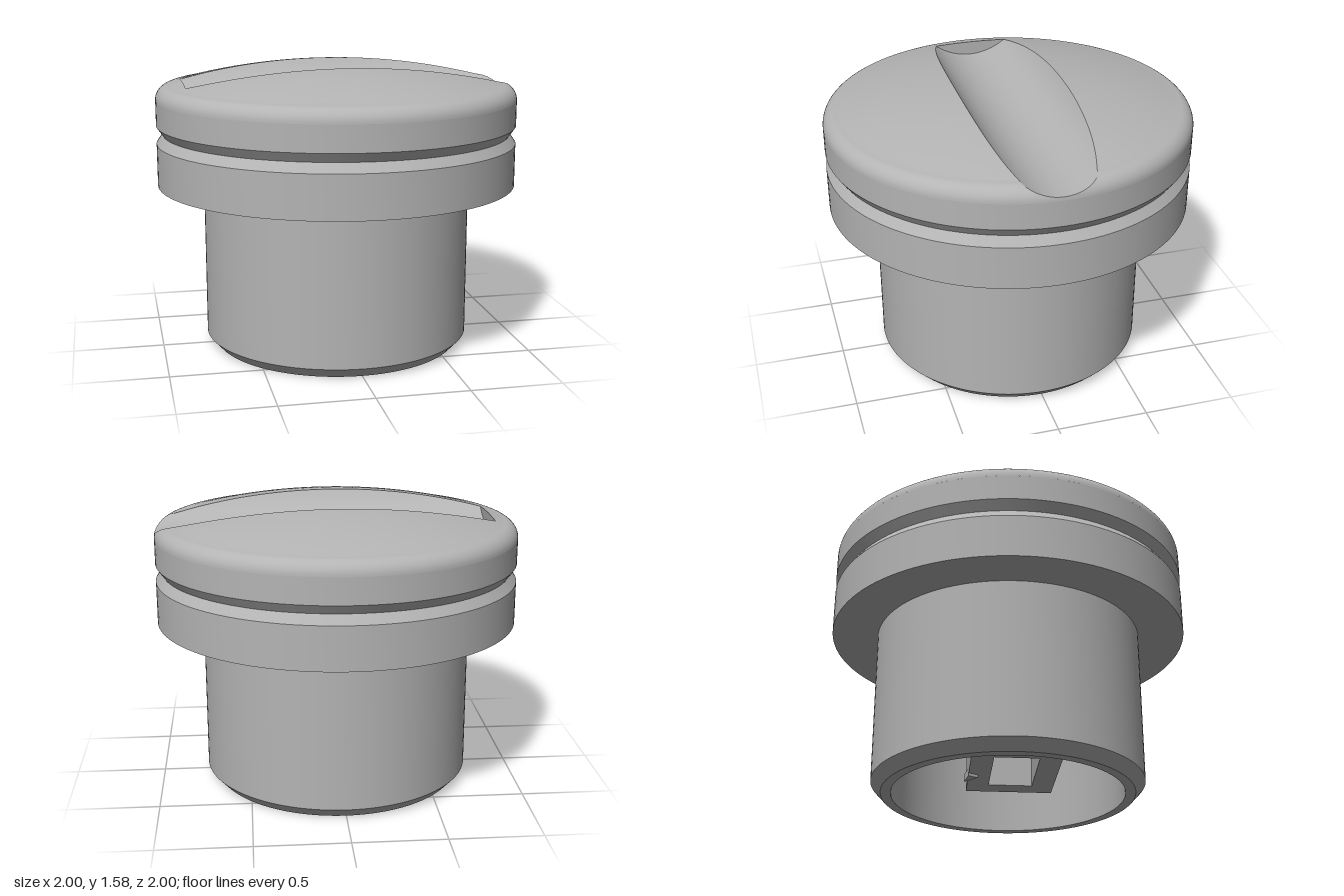
import * as THREE from 'three';
import { toCreasedNormals } from 'three/addons/utils/BufferGeometryUtils.js';

const GROOVE_END = -0.85, GROOVE_HALF = 0.2105;
const DOME_R = 0.92, DOME_ARC = 3.58, FILLET = 0.08, RIM_Y = 1.395;

// Cap profile: s 0..1 runs over the dome, 1..2 round the rim fillet
function profile(s) {
  if (s <= 1) {
    const r = DOME_R * s;
    return [r, 1.595 - DOME_ARC + Math.sqrt(DOME_ARC ** 2 - r * r)];
  }
  const a = (s - 1) * Math.PI / 2;
  return [DOME_R + FILLET * Math.sin(a), RIM_Y + FILLET * Math.cos(a)];
}

// Height of the round-bottomed finger groove running along x
const grooveY = (z) => 1.755 - Math.sqrt(Math.max(0, 0.34 ** 2 - z * z));

// Profile position at which a ray from the centre leaves the groove
function grooveEdge(t) {
  let lo = 0, hi = 2;
  for (let k = 0; k < 40; k++) {
    const mid = (lo + hi) / 2;
    const [r, y] = profile(mid);
    if (y > grooveY(r * Math.sin(t))) lo = mid; else hi = mid;
  }
  const c = Math.cos(t);
  return c < -0.01 ? Math.min(lo, GROOVE_END / c / DOME_R) : lo;
}

// Surface from a grid of points, optionally closed in the first direction
function grid(cols, rows, point, closed) {
  const pos = [], index = [];
  for (let i = 0; i < cols; i++) for (let j = 0; j < rows; j++) pos.push(...point(i, j));
  for (let i = 0; i < (closed ? cols : cols - 1); i++) {
    for (let j = 0; j < rows - 1; j++) {
      const a = i * rows + j, c = ((i + 1) % cols) * rows + j;
      index.push(a, c, a + 1, c, c + 1, a + 1);
    }
  }
  const g = new THREE.BufferGeometry();
  g.setAttribute('position', new THREE.Float32BufferAttribute(pos, 3));
  g.setIndex(index);
  g.computeVertexNormals();
  return g;
}

export function createModel() {
  const group = new THREE.Group();
  const grey = new THREE.MeshStandardMaterial({ color: 0xb4b4b4 });
  grey.name = 'grey';
  const add = (name, geometry) => {
    const mesh = new THREE.Mesh(geometry, grey);
    mesh.name = name;
    group.add(mesh);
    return mesh;
  };

  // Hollow stem, flange and V-grooved rim
  const outline = [
    [0, 1.3], [0.635, 1.3], [0.635, 0], [0.69, 0], [0.745, 0.06], [0.745, 0.92],
    [1, 0.92], [1, 1.155], [0.965, 1.205], [1, 1.255], [1, RIM_Y],
  ].map(([x, y]) => new THREE.Vector2(x, y));
  add('body', toCreasedNormals(new THREE.LatheGeometry(outline, 120), 0.5));

  // Ray angles, with exact ones at the corners of the groove's closed end
  const corner = Math.atan(GROOVE_HALF / -GROOVE_END);
  const angles = Array.from({ length: 240 }, (_, i) => i / 240 * Math.PI * 2);
  angles.push(Math.PI - corner, Math.PI + corner);
  angles.sort((a, b) => a - b);
  const edges = angles.map(grooveEdge);

  // Domed cap around the groove
  const domeRows = 12, filletRows = 10;
  add('domedCap', grid(angles.length, domeRows + filletRows + 1, (i, j) => {
    const e = edges[i], start = Math.min(e, 1);
    const s = j <= domeRows ? start + (1 - start) * j / domeRows : 1 + (j - domeRows) / filletRows;
    const [r, y] = profile(Math.max(s, e));
    return [r * Math.cos(angles[i]), y, r * Math.sin(angles[i])];
  }, true));

  // Groove floor
  add('grooveFloor', grid(angles.length, 17, (i, j) => {
    const r = profile(edges[i])[0] * j / 16;
    const z = r * Math.sin(angles[i]);
    return [r * Math.cos(angles[i]), grooveY(z), z];
  }, true));

  // Wall at the closed end of the groove
  add('grooveEndWall', grid(25, 2, (i, j) => {
    const z = GROOVE_HALF * (1 - i / 12);
    const top = profile(Math.hypot(GROOVE_END, z) / DOME_R)[1];
    return [GROOVE_END, j ? top : grooveY(z), z];
  }, false));

  // Rectangular socket tower inside the stem, joined to its wall
  const rect = (path, x0, x1, h) => path.moveTo(x0, -h).lineTo(x1, -h).lineTo(x1, h).lineTo(x0, h).closePath();
  const frame = rect(new THREE.Shape(), -0.66, -0.03, 0.23);
  frame.holes.push(rect(new THREE.Path(), -0.56, -0.14, 0.115));
  const tower = add('socketTower', new THREE.ExtrudeGeometry(frame, { depth: 1.285, bevelEnabled: false }));
  tower.rotation.x = -Math.PI / 2;
  tower.position.y = 0.015;

  // Small catch on the tower's lower edge
  const wedge = new THREE.Shape([[-0.22, 0.25], [-0.32, 0.23], [-0.29, 0.18]].map(([x, y]) => new THREE.Vector2(x, y)));
  const hook = add('catch', new THREE.ExtrudeGeometry(wedge, { depth: 0.04, bevelEnabled: false }));
  hook.rotation.x = -Math.PI / 2;

  return group;
}
